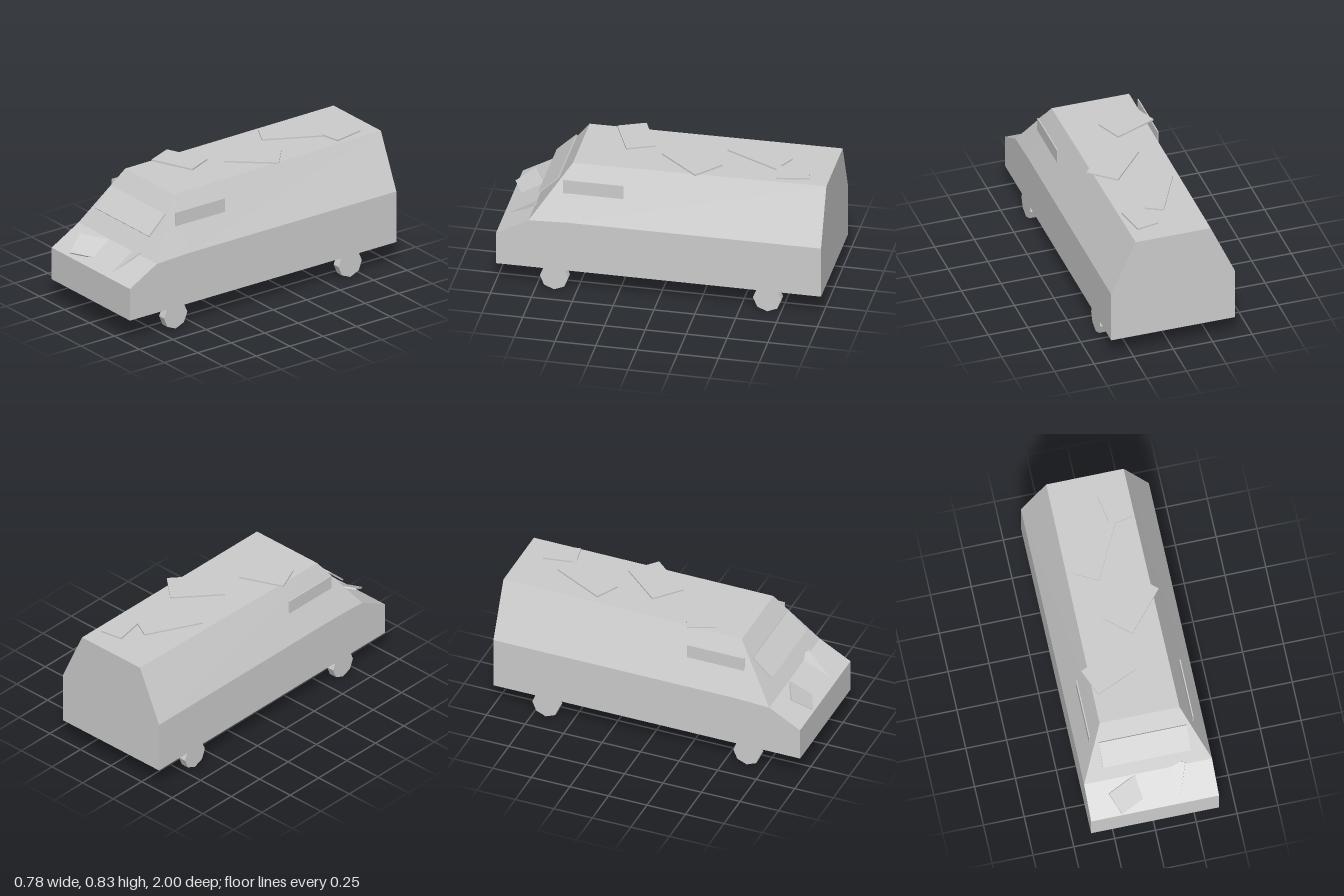
import * as THREE from 'three';

const V = (a) => new THREE.Vector3(...a);

export function createModel() {
  const group = new THREE.Group();
  const grey = new THREE.MeshStandardMaterial({ color: 0xcccccc });
  grey.name = 'plainGrey';
  grey.flatShading = true;

  const add = (name, geometry) => {
    const mesh = new THREE.Mesh(geometry, grey);
    mesh.name = name;
    group.add(mesh);
    return mesh;
  };

  // Body shell: six-sided cross-sections from nose to tail
  // [z, shoulder height, top half width, top height]
  const sections = [
    [0.99, 0.353, 0.392, 0.353],
    [0.79, 0.465, 0.392, 0.465],
    [0.55, 0.475, 0.245, 0.806],
    [-1.0, 0.477, 0.237, 0.82],
  ];
  const half = 0.392, floor = 0.147;
  const loops = sections.map(([z, ys, xt, yt]) => [
    [half, floor, z], [half, ys, z], [xt, yt, z],
    [-xt, yt, z], [-half, ys, z], [-half, floor, z],
  ]);
  const pos = [];
  const tri = (a, b, c) => {
    const area = V(b).sub(V(a)).cross(V(c).sub(V(a))).length();
    if (area > 1e-7) pos.push(...a, ...b, ...c);
  };
  for (let s = 0; s < loops.length - 1; s++) {
    const a = loops[s], b = loops[s + 1];
    for (let i = 0; i < 6; i++) {
      const j = (i + 1) % 6;
      tri(a[i], b[i], b[j]);
      tri(a[i], b[j], a[j]);
    }
  }
  const nose = loops[0], tail = loops[loops.length - 1];
  for (let i = 1; i < 5; i++) {
    tri(nose[0], nose[i], nose[i + 1]);
    tri(tail[0], tail[i + 1], tail[i]);
  }
  const body = new THREE.BufferGeometry();
  body.setAttribute('position', new THREE.Float32BufferAttribute(pos, 3));
  body.computeVertexNormals();
  add('body', body);

  // Thin slab whose upper face starts at a corner and spans edges u and v
  const slab = (name, corner, u, v, t = 0.01) => {
    const eu = V(u), ev = V(v);
    const x = eu.clone().normalize();
    const n = x.clone().cross(ev).normalize();
    if (n.y < 0) { n.negate(); }
    const y = n.clone().cross(x);
    const mesh = add(name, new THREE.BoxGeometry(eu.length(), ev.length(), t));
    mesh.quaternion.setFromRotationMatrix(new THREE.Matrix4().makeBasis(x, y, n));
    mesh.position.copy(V(corner)).addScaledVector(eu, 0.5).addScaledVector(ev, 0.5).addScaledVector(n, -t / 2);
  };

  // Windscreen, standing proud of the sloping front
  slab('windscreen', [-0.268, 0.71, 0.637], [0.536, 0, 0], [0, -0.115, 0.12]);

  // Skewed lamps half sunk in the bonnet
  slab('rightLamp', [-0.26, 0.463, 0.88], [0.252, 0, -0.122], [0.06, -0.075, 0.115]);
  slab('leftLamp', [0.229, 0.485, 0.788], [-0.139, 0, -0.055], [-0.073, -0.121, 0.18]);

  // Loose panels on the roof
  slab('roofPanel1', [-0.285, 0.83, 0.21], [0.26, 0, -0.11], [0.07, 0, 0.165]);
  slab('roofPanel2', [-0.09, 0.832, -0.093], [0.215, 0, -0.247], [0.157, 0, 0.133]);
  slab('roofPanel3', [-0.2, 0.834, -0.405], [0.17, 0, -0.33], [0.143, 0, 0.071]);
  slab('roofPanel4', [0.045, 0.835, -0.86], [0.14, 0, -0.026], [0.038, 0, 0.198]);

  // Side windows and octagonal wheels, mirrored
  for (const [side, sx] of [['left', 1], ['right', -1]]) {
    add(side + 'Window', new THREE.BoxGeometry(0.007, 0.125, 0.37))
      .position.set(sx * 0.317, 0.661, 0.41);
    for (const [end, z] of [['Front', 0.637], ['Rear', -0.667]]) {
      const wheel = new THREE.CylinderGeometry(0.087, 0.087, 0.05, 8);
      wheel.rotateZ(Math.PI / 2);
      add(side + end + 'Wheel', wheel).position.set(sx * 0.352, 0.087, z);
    }
  }
  return group;
}
